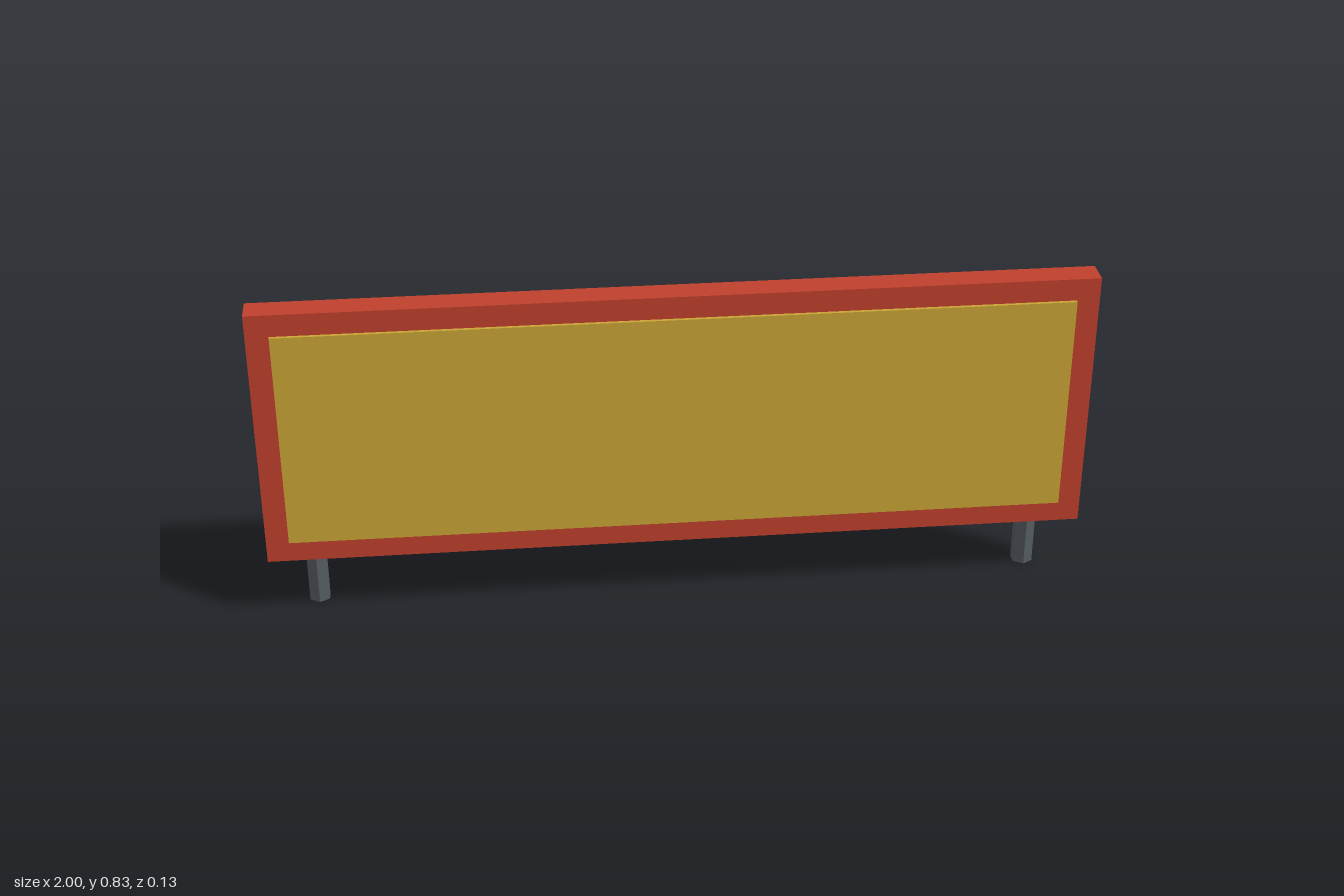
import * as THREE from 'three';

const material = (name, color, flatShading = false) => {
  const m = new THREE.MeshStandardMaterial({ color, flatShading });
  m.name = name;
  return m;
};

export function createModel() {
  const red = material('red board', 0xc0402c);
  const yellow = material('yellow panel', 0xc9a435);
  const grey = material('grey metal', 0x555b61, true);

  const group = new THREE.Group();
  group.name = 'signBoard';
  const add = (name, geometry, mat, x, y, z) => {
    const mesh = new THREE.Mesh(geometry, mat);
    mesh.name = name;
    mesh.position.set(x, y, z);
    group.add(mesh);
  };

  // Board with a slightly raised front panel
  add('board', new THREE.BoxGeometry(2, 0.667, 0.067), red, 0, 0.5, 0.022);
  add('frontPanel', new THREE.BoxGeometry(1.889, 0.556, 0.009), yellow, 0, 0.5, 0.0595);

  // Hexagonal posts behind the lower edge, slightly sunk into the board
  const post = new THREE.CylinderGeometry(0.028, 0.028, 0.222, 6);
  for (const [name, side] of [['leftPost', 1], ['rightPost', -1]]) {
    add(name, post, grey, side * 0.889, 0.111, -0.034);
  }
  return group;
}
